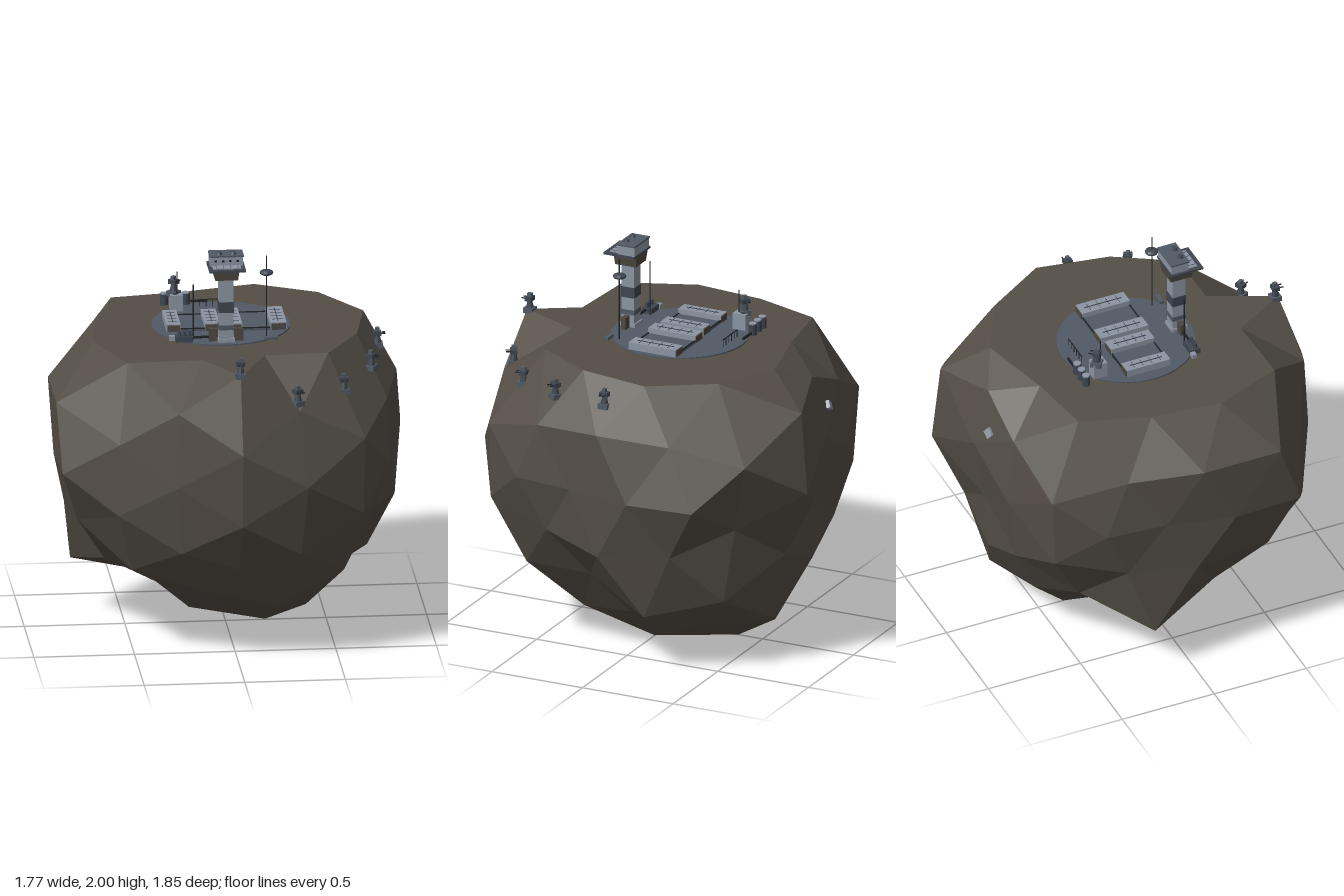
import * as THREE from 'three';

const mat = (name, color) => {
  const m = new THREE.MeshStandardMaterial({ color, flatShading: true });
  m.name = name;
  return m;
};

export function createModel() {
  const rock = mat('rock', 0x544e46), plate = mat('deck plate', 0x505965);
  const panel = mat('pale panel', 0x8b95a2), steel = mat('dark steel', 0x3e4651);
  const brown = mat('brown armour', 0x4d4740), black = mat('black metal', 0x202327);
  const model = new THREE.Group();
  model.name = 'asteroidBase';
  const TOP = 1.53, DECK = 1.537, MID = 0.96;

  const add = (parent, name, geo, m, x, y, z) => {
    const mesh = new THREE.Mesh(geo, m);
    mesh.name = name;
    mesh.position.set(x, y, z);
    parent.add(mesh);
    return mesh;
  };
  // box given by its x, y and z ranges
  const box = (parent, name, m, x0, x1, y0, y1, z0, z1) =>
    add(parent, name, new THREE.BoxGeometry(x1 - x0, y1 - y0, z1 - z0), m, (x0 + x1) / 2, (y0 + y1) / 2, (z0 + z1) / 2);
  // upright cylinder standing on y
  const post = (parent, name, m, x, y, z, r, h, sides = 8, rTop = r) =>
    add(parent, name, new THREE.CylinderGeometry(rTop, r, h, sides), m, x, y + h / 2, z);
  const group = (name, x = 0, y = 0, z = 0) => {
    const g = new THREE.Group();
    g.name = name;
    g.position.set(x, y, z);
    model.add(g);
    return g;
  };

  // asteroid: subdivided icosahedron, corners pushed in or out, top cut flat.
  // Mirrored corners form a family; families run from top to bottom, then outward in x.
  // Radii per family: +x+z, +x-z, -x-z, -x+z, or just the two sides when on an axis plane.
  const rimRadii = [[0.50, 0.70, 0.60, 0.55], [0.66, 0.73, 0.66, 0.70], [0.66, 0.72, 0.735, 0.76]];
  const bodyRadii = [
    [0.80, 0.91], [0.91, 1.03, 0.90, 0.94], [0.91, 0.945], [0.90, 0.92, 0.87, 1.03],
    [0.945, 0.87], [0.96, 0.98, 0.98, 0.90],
    [0.93, 0.985, 0.86, 0.88], [0.91, 1.01, 0.90, 1.01], [0.83, 0.905, 0.81, 0.89],
    [0.92, 0.81], [0.95, 0.85, 0.95, 0.91], [0.84, 0.90, 0.86, 0.90], [0.90, 0.86],
    [0.92, 0.90, 0.88, 0.89], [0.87, 0.91], [0.93, 0.97, 0.88, 0.89],
    [0.80, 0.99, 1.03, 0.85], [0.94, 1.03, 0.92, 0.85],
    [0.92, 0.93, 0.83, 0.80], [0.87, 0.80], [0.86, 1.025], [0.975, 0.90],
  ];
  const radii = [...rimRadii, ...bodyRadii];
  const rockGeo = new THREE.IcosahedronGeometry(1, 2);
  const pos = rockGeo.attributes.position;
  const v = new THREE.Vector3();
  const familyKey = () => Math.round(v.y * 100) * 1000 - Math.round(Math.abs(v.x) * 100);
  const keys = new Set();
  for (let i = 0; i < pos.count; i++) {
    v.fromBufferAttribute(pos, i);
    if (v.y < 0.8) keys.add(familyKey());
  }
  const order = [...keys].sort((a, b) => b - a);
  for (let i = 0; i < pos.count; i++) {
    v.fromBufferAttribute(pos, i);
    if (v.y > 0.8) v.multiplyScalar((TOP - MID) / v.y);
    else {
      const family = order.indexOf(familyKey()), r = radii[family];
      let side = v.x > 0 ? (v.z > 0 ? 0 : 1) : (v.z > 0 ? 3 : 2);
      if (r.length === 2) side = (Math.abs(v.x) < 0.01 ? v.z : v.x) > 0 ? 0 : 1;
      const onRim = family < 3 || (family === 3 && side === 0);
      if (onRim) v.multiplyScalar(r[side] / Math.hypot(v.x, v.z)).setY(TOP - MID);
      else v.multiplyScalar(r[side]);
    }
    pos.setXYZ(i, v.x, v.y, v.z);
  }
  rockGeo.computeVertexNormals();
  add(model, 'asteroid', rockGeo, rock, 0, MID, 0);

  // landing deck
  post(model, 'deck', plate, -0.02, TOP - 0.01, -0.035, 0.345, DECK - TOP + 0.01, 32);

  // two paired bays: pale roofed halls either side of a low floor
  const hall = (g, x0, x1, z0, z1) => {
    box(g, 'hall', panel, x0, x1, DECK, 1.575, z0, z1);
    box(g, 'hallDoor', brown, x0 + 0.004, x1 - 0.004, DECK, 1.57, z0 - 0.002, z1 + 0.002);
    const xm = (x0 + x1) / 2;
    box(g, 'roofRidge', steel, xm - 0.002, xm + 0.002, 1.575, 1.578, z0 + 0.03, z1 - 0.03);
    for (let i = 1; i < 5; i++) {
      const z = z0 + ((z1 - z0) * i) / 5;
      box(g, 'roofRib', steel, x0 + 0.012, x1 - 0.012, 1.575, 1.577, z - 0.001, z + 0.001);
    }
  };
  for (const [a, b, c, d, z0, z1] of [[-0.3, -0.23, -0.11, -0.035, -0.155, 0.08], [-0.005, 0.075, 0.215, 0.295, -0.165, 0.095]]) {
    const g = group('bay');
    hall(g, a, b, z0, z1);
    hall(g, c, d, z0, z1);
    box(g, 'bayFloor', plate, b, c, DECK, 1.548, z0, z1);
    for (const z of [z0, z1 - 0.006]) box(g, 'bayEdge', black, b, c, DECK, 1.553, z, z + 0.006);
  }

  // control tower
  const tower = group('controlTower');
  const tx = -0.022, tz = 0.238;
  const ring = (name, m, half, y0, y1) => box(tower, name, m, tx - half, tx + half, y0, y1, tz - half, tz + half);
  ring('towerFoot', panel, 0.042, DECK, 1.555);
  ring('towerShaft', panel, 0.035, 1.555, 1.866);
  ring('towerBand', steel, 0.037, 1.69, 1.745);
  ring('towerLowerBand', plate, 0.037, 1.6, 1.625);
  for (const [x0, x1] of [[-0.105, -0.062], [0.02, 0.065]]) box(tower, 'towerAnnex', brown, x0, x1, DECK, 1.6, 0.225, 0.25);
  const collar = post(tower, 'towerCollar', brown, tx, 1.865, 0.24, 0.08, 0.056, 4, 0.09);
  collar.geometry.rotateY(Math.PI / 4);
  box(tower, 'towerBalcony', steel, -0.112, 0.07, 1.921, 1.931, 0.175, 0.345);
  box(tower, 'balconyPanel', panel, -0.092, 0.048, 1.931, 1.936, 0.272, 0.32);
  box(tower, 'towerCabin', panel, -0.1, 0.062, 1.931, 1.978, 0.178, 0.27);
  box(tower, 'cabinRoof', plate, -0.104, 0.066, 1.978, 1.986, 0.174, 0.274);
  for (let i = 0; i < 4; i++) {
    const x = -0.08 + i * 0.036;
    box(tower, 'cabinWindow', black, x, x + 0.012, 1.953, 1.963, 0.27, 0.273);
    box(tower, 'panelSlat', steel, x + 0.005, x + 0.007, 1.936, 1.938, 0.275, 0.317);
  }
  for (const x of [-0.055, 0.015]) post(tower, 'roofDome', steel, x, 1.986, 0.245, 0.016, 0.014, 8, 0.01);

  // masts, one carrying a dish
  const masts = group('masts');
  post(masts, 'tallMast', black, 0.185, DECK, 0.2, 0.003, 0.42, 6);
  const dish = add(masts, 'dish', new THREE.SphereGeometry(0.034, 12, 8), steel, 0.185, 1.87, 0.198);
  dish.scale.y = 0.45;
  post(masts, 'shortMast', black, -0.18, DECK, 0.21, 0.003, 0.285, 6);
  post(masts, 'rearMast', black, -0.215, DECK, -0.262, 0.003, 0.2, 6);

  // gun turrets on the deck block and along the rim of the rock
  const turret = (x, y, z, turn) => {
    const g = group('turret', x, y, z);
    g.rotation.y = turn;
    box(g, 'turretBase', plate, -0.026, 0.026, -0.015, 0.012, -0.026, 0.026);
    post(g, 'turretNeck', steel, 0, 0.012, 0, 0.02, 0.036, 8, 0.012);
    box(g, 'turretHead', steel, -0.022, 0.022, 0.048, 0.07, -0.018, 0.018);
    box(g, 'turretSight', plate, -0.009, 0.009, 0.07, 0.088, -0.012, 0.01);
    for (const s of [-0.012, 0.012]) box(g, 'turretBarrel', black, s - 0.002, s + 0.002, 0.057, 0.062, 0.018, 0.04);
  };
  turret(0, 1.53, 0.785, 0);
  turret(0.29, 1.36, 0.73, 0.5);
  turret(0.535, 1.36, 0.555, 0.1);
  turret(0.695, 1.395, 0.3, 1);
  turret(0.755, 1.415, 0, 1.57);
  box(model, 'turretBlock', panel, -0.25, -0.188, DECK, 1.62, -0.312, -0.24);
  turret(-0.23, 1.62, -0.288, 2.4);

  // storage tanks, pipe and fence at the back
  const depot = group('depot');
  for (const x of [-0.27, -0.216, -0.163]) {
    post(depot, 'tank', steel, x, DECK, -0.365, 0.021, 0.055, 12);
    post(depot, 'tankCap', panel, x, 1.592, -0.365, 0.019, 0.006, 12);
  }
  box(depot, 'pipe', black, -0.142, -0.055, 1.545, 1.555, -0.37, -0.36);
  box(depot, 'fenceRail', black, -0.1, 0.06, 1.572, 1.576, -0.312, -0.308);
  for (let i = 0; i < 6; i++) post(depot, 'fencePost', black, -0.098 + i * 0.031, DECK, -0.31, 0.002, 0.038, 5);

  // gun carriage and crates at the front
  const yard = group('yard');
  box(yard, 'crate', panel, -0.3, -0.272, DECK, 1.56, 0.2, 0.224);
  box(yard, 'carriage', steel, -0.27, -0.185, DECK, 1.565, 0.205, 0.257);
  for (const x of [-0.25, -0.226, -0.202]) post(yard, 'drum', steel, x, 1.565, 0.238, 0.01, 0.025, 8);
  box(yard, 'longBarrel', black, -0.185, -0.105, 1.552, 1.562, 0.233, 0.243);
  box(yard, 'lowCrate', plate, 0.172, 0.236, DECK, 1.552, 0.238, 0.26);

  // loose panel lying on the rear slope
  const loose = box(model, 'loosePanel', panel, -0.125, -0.08, 1.24, 1.28, -0.825, -0.805);
  loose.rotation.set(0.35, 0.3, 0.5);

  return model;
}
